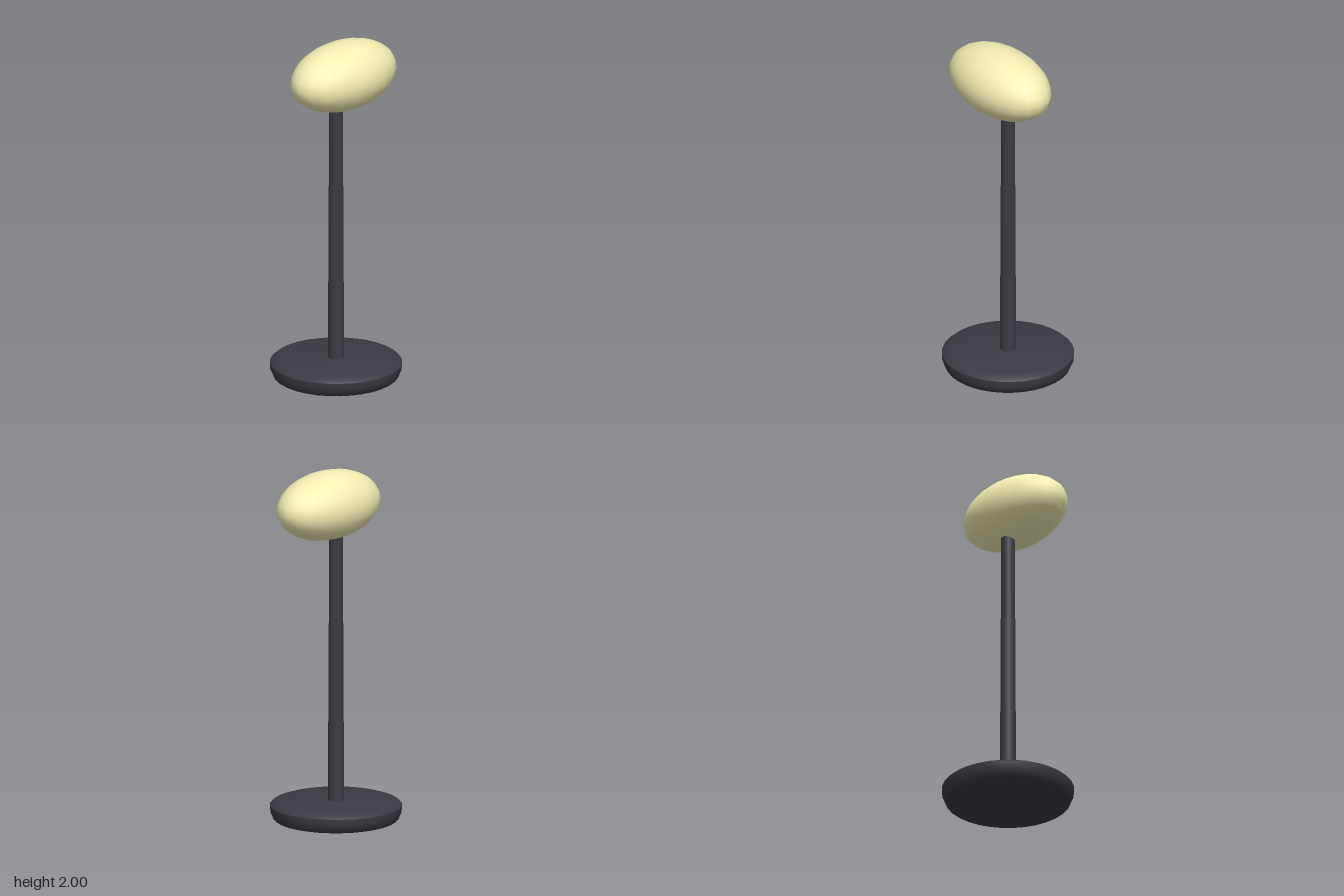
import * as THREE from 'three';
import { toCreasedNormals } from 'three/addons/utils/BufferGeometryUtils.js';

export function createModel() {
  const model = new THREE.Group();
  const dark = new THREE.MeshStandardMaterial({ color: 0x3b3a43 });
  const cream = new THREE.MeshStandardMaterial({ color: 0xf3eeb2 });

  const add = (name, geometry, material, x = 0, y = 0, z = 0) => {
    const mesh = new THREE.Mesh(geometry, material);
    mesh.name = name;
    mesh.position.set(x, y, z);
    model.add(mesh);
    return mesh;
  };

  // Round foot with softened edges
  const profile = [
    [0, 0], [0.34, 0], [0.352, 0.008], [0.37, 0.05],
    [0.372, 0.085], [0.355, 0.1], [0.32, 0.112], [0, 0.112],
  ].map(([r, y]) => new THREE.Vector2(r, y));
  add('base', toCreasedNormals(new THREE.LatheGeometry(profile, 32), 0.9), dark);

  // Telescoping pole, each section slightly thinner than the one below
  const sections = [
    ['lowerPole', 0.1, 0.56, 0.045],
    ['middlePole', 0.56, 1.13, 0.043],
    ['upperPole', 1.13, 1.7, 0.04],
  ];
  for (const [name, from, to, radius] of sections) {
    add(name, new THREE.CylinderGeometry(radius, radius, to - from, 20), dark, 0, (from + to) / 2, 0);
  }

  // Ellipsoid head, set a little forward of the pole
  const head = new THREE.SphereGeometry(1, 20, 14);
  head.scale(0.376, 0.193, 0.221);
  add('head', head, cream, 0, 1.807, 0.055);

  return model;
}
